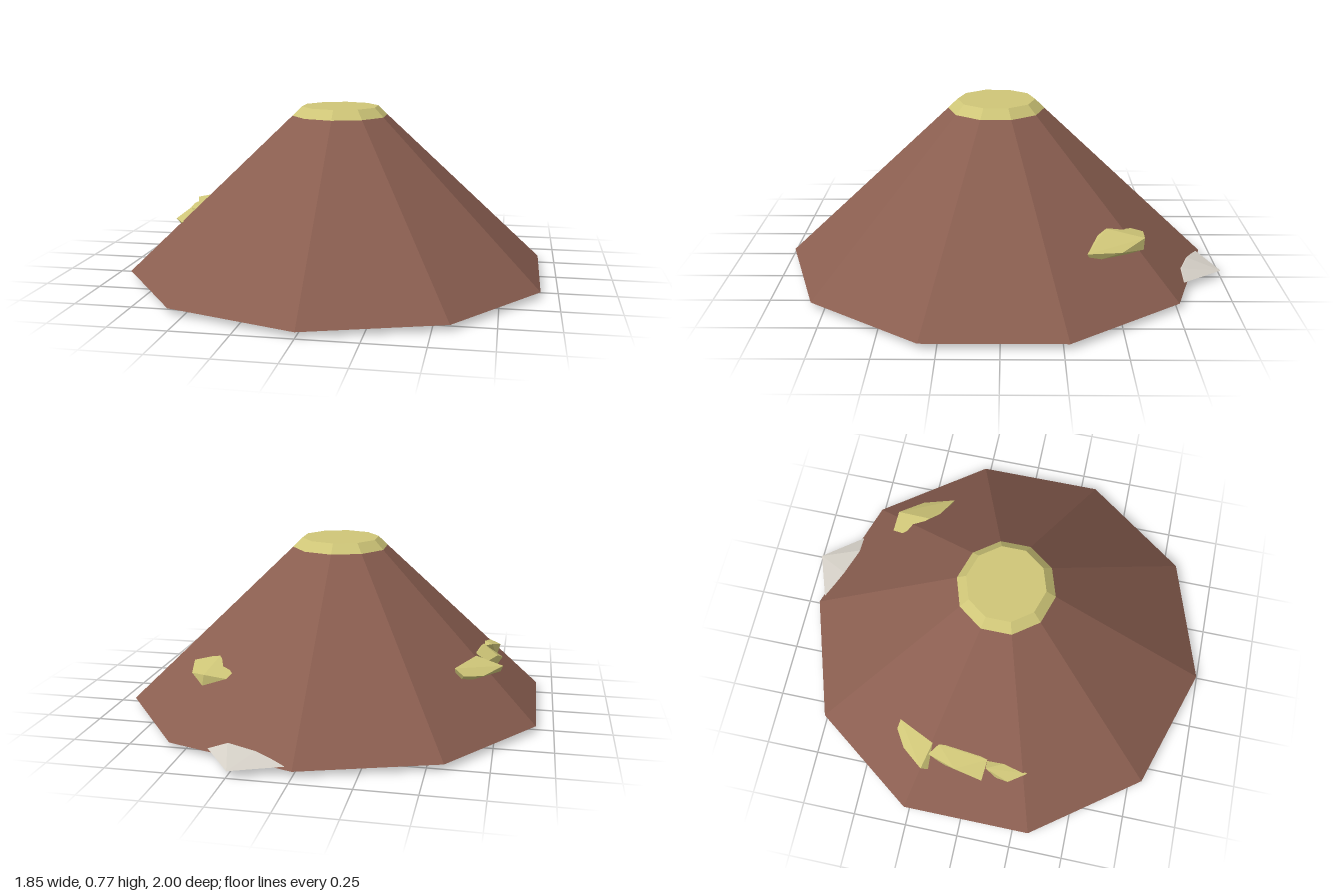
import * as THREE from 'three';
import { ConvexGeometry } from 'three/addons/geometries/ConvexGeometry.js';

export function createModel() {
  const model = new THREE.Group();
  const material = (name, color) => {
    const m = new THREE.MeshStandardMaterial({ color, flatShading: true });
    m.name = name;
    return m;
  };
  const brown = material('brown earth', 0x8a5e50);
  const yellow = material('yellow ore', 0xcfc678);
  const grey = material('pale stone', 0xd4cfc6);

  const add = (name, geometry, mat) => {
    const mesh = new THREE.Mesh(geometry, mat);
    mesh.name = name;
    model.add(mesh);
    return mesh;
  };
  // Faceted rock: the hull of a few [x, y, z] corners
  const rock = (name, mat, corners) =>
    add(name, new ConvexGeometry(corners.map(c => new THREE.Vector3(...c))), mat);

  // Ten-sided mound with a cap that continues its slope
  const frustum = (name, rTop, rBottom, y0, y1, mat) =>
    add(name, new THREE.CylinderGeometry(rTop, rBottom, y1 - y0, 10), mat)
      .position.set(0, (y0 + y1) / 2, 0.025);
  frustum('mound', 0.22, 0.97, 0.025, 0.73, brown);
  frustum('cap', 0.177, 0.22, 0.73, 0.772, yellow);

  // Row of ore lumps on the right flank
  rock('backOreLump', yellow, [
    [-0.57, 0.29, -0.35], [-0.61, 0.26, -0.36], [-0.69, 0.25, -0.31], [-0.77, 0.27, -0.21],
    [-0.76, 0.235, -0.18], [-0.65, 0.3, -0.18], [-0.69, 0.215, -0.2], [-0.58, 0.2, -0.3],
  ]);
  rock('middleOreLump', yellow, [
    [-0.7, 0.28, -0.19], [-0.65, 0.3, -0.15], [-0.64, 0.29, -0.04], [-0.67, 0.28, 0.08],
    [-0.76, 0.225, 0.07], [-0.74, 0.27, -0.06], [-0.72, 0.21, -0.12], [-0.68, 0.21, 0.05],
  ]);
  rock('frontOreLump', yellow, [
    [-0.71, 0.28, 0.08], [-0.67, 0.27, 0.08], [-0.66, 0.27, 0.18], [-0.69, 0.25, 0.27],
    [-0.745, 0.25, 0.19], [-0.73, 0.21, 0.13], [-0.69, 0.21, 0.22],
  ]);
  // Single ore lump on the back left ridge
  rock('leftOreLump', yellow, [
    [0.35, 0.28, -0.57], [0.36, 0.27, -0.62], [0.46, 0.28, -0.615], [0.47, 0.23, -0.61],
    [0.55, 0.25, -0.51], [0.59, 0.26, -0.36], [0.57, 0.215, -0.38], [0.44, 0.315, -0.45],
    [0.48, 0.3, -0.41], [0.5, 0.205, -0.48],
  ]);

  // Stone jutting out from under the back rim
  rock('rimStone', grey, [
    [0.02, 0.035, -0.92], [0.245, 0.03, -1.0], [0.385, 0.035, -0.81], [0.3, 0.065, -0.81],
    [0.17, 0.06, -0.86], [0.055, 0.024, -0.635], [0.26, 0.024, -0.62], [0.01, 0.024, -0.835],
    [0.3, 0.022, -0.9], [0.13, 0.017, -0.74],
  ]);
  // Stones poking through the base: an outline and one lowest point
  const baseStone = (name, outline, low) =>
    rock(name, grey, [...outline.flatMap(([x, z]) => [[x, 0.024, z], [x, 0.035, z]]), low]);
  baseStone('leftBaseStone',
    [[0.66, 0.345], [0.69, 0.09], [0.57, -0.17], [0.34, 0.055], [0.42, 0.4]], [0.56, 0, 0.1]);
  baseStone('rightBaseStone',
    [[-0.22, 0.69], [-0.21, 0.46], [-0.26, 0.19], [-0.47, 0.26], [-0.45, 0.56]], [-0.27, 0.014, 0.45]);

  return model;
}
